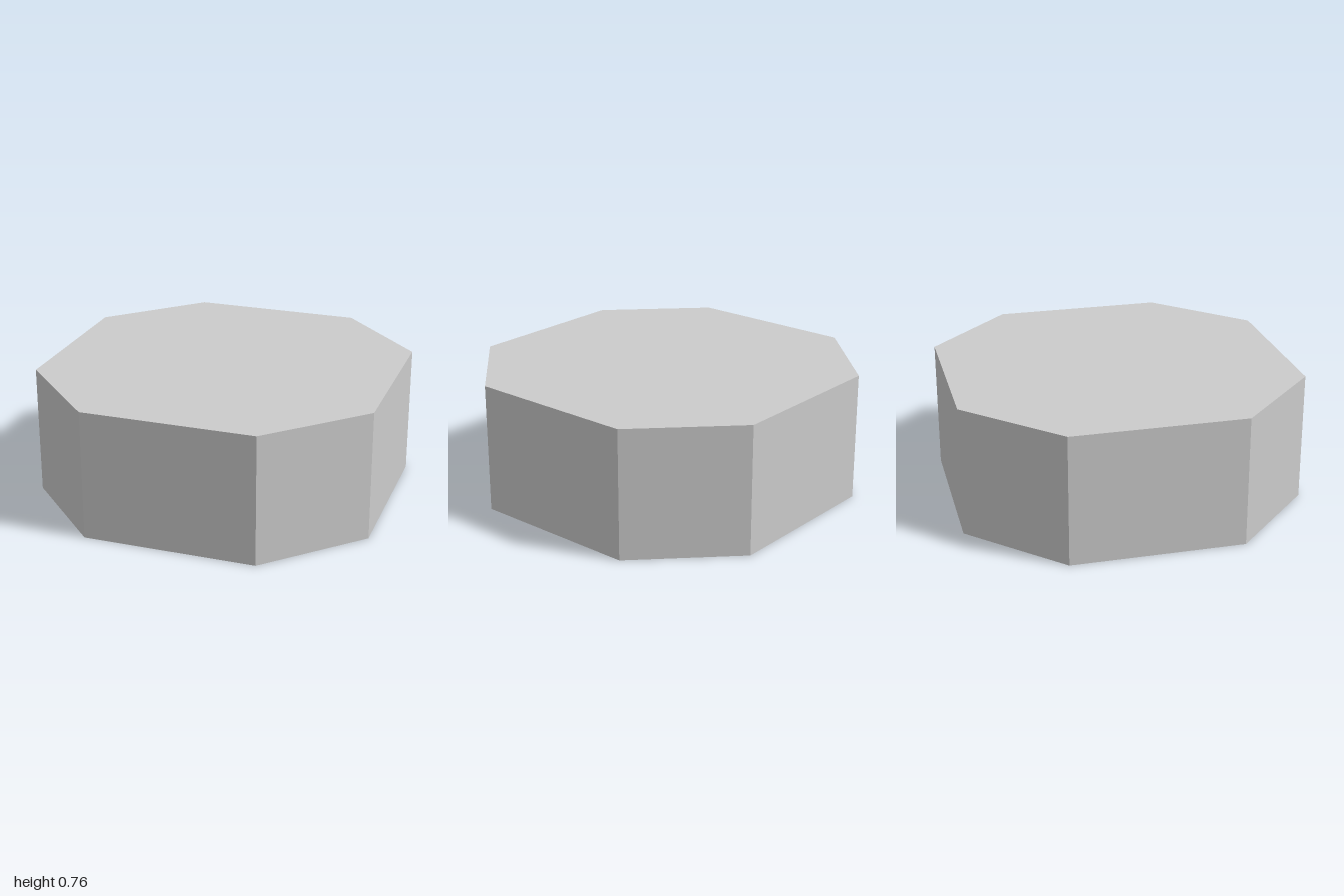
import * as THREE from 'three';

// Octagon corners, ordered from +x towards +z
const corners = [[1, -0.5], [1, 0.5], [0.5, 1], [-0.5, 1], [-1, 0.5], [-1, -0.5], [-0.5, -1], [0.5, -1]];

// Sweeps a [scale, y] profile around the octagon with flat faces
function octagonLathe(profile) {
  const pos = [];
  const point = (k, i) => {
    const [s, y] = profile[k];
    const [x, z] = corners[i % 8];
    return [x * s, y, z * s];
  };
  for (let k = 0; k < profile.length - 1; k++) {
    for (let i = 0; i < 8; i++) {
      const a0 = point(k, i), a1 = point(k, i + 1);
      const b0 = point(k + 1, i), b1 = point(k + 1, i + 1);
      if (profile[k][0] > 0) pos.push(...a0, ...a1, ...b1);
      if (profile[k + 1][0] > 0) pos.push(...a0, ...b1, ...b0);
      else if (profile[k][0] === 0) continue;
    }
  }
  const geometry = new THREE.BufferGeometry();
  geometry.setAttribute('position', new THREE.Float32BufferAttribute(pos, 3));
  geometry.computeVertexNormals();
  return geometry;
}

export function createModel() {
  const group = new THREE.Group();
  group.name = 'octagonalBlock';
  const material = new THREE.MeshStandardMaterial({ color: 0xcccccc, flatShading: true });

  // Solid block with a shallow socket and a small hub underneath
  const block = new THREE.Mesh(octagonLathe([
    [0, 0.757], [1, 0.757], [1, 0],   // top and side walls
    [0.24, 0], [0.24, 0.03],          // underside and socket wall
    [0.1, 0.03], [0.1, 0.025], [0, 0.025], // socket floor and hub
  ]), material);
  block.name = 'block';
  group.add(block);
  return group;
}
